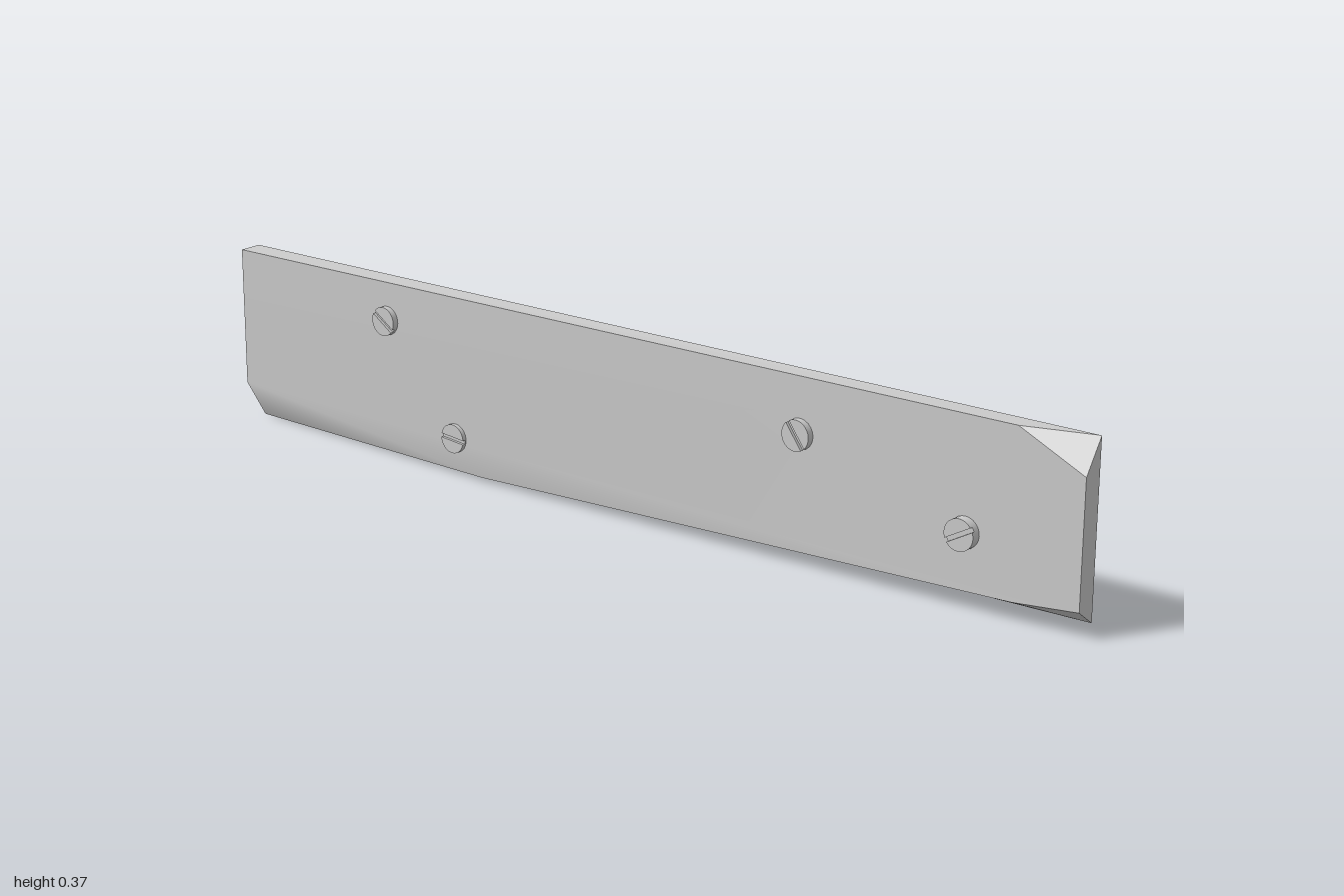
import * as THREE from 'three';

const material = new THREE.MeshStandardMaterial({ color: 0xcccccc });

// Polygons (lists of corners) fanned into one geometry; corners are shared for smooth shading
function facets(corners, polygons) {
  const index = [];
  for (const p of polygons) {
    for (let i = 1; i < p.length - 1; i++) index.push(p[0], p[i], p[i + 1]);
  }
  const geometry = new THREE.BufferGeometry();
  geometry.setAttribute('position', new THREE.Float32BufferAttribute(corners.flat(), 3));
  geometry.setIndex(index);
  geometry.computeVertexNormals();
  return geometry;
}

function addMesh(parent, name, geometry) {
  const mesh = new THREE.Mesh(geometry, material);
  mesh.name = name;
  parent.add(mesh);
  return mesh;
}

function createPlank() {
  const plank = new THREE.Group();
  plank.name = 'plank';
  const corners = [
    // front outline, counter-clockwise from the worn lower corner at -x
    [-1, 0.08, 0.017], [-0.33, 0.008, 0.017], [0.87, 0.038, 0.0135], [1, 0.05, 0.013],
    [1, 0.283, 0.013], [0.87, 0.346, 0.0135], [-1, 0.365, 0.017],
    // back outline
    [-1, 0, -0.03], [1, 0.02, -0.03], [1, 0.344, -0.03], [-1, 0.367, -0.03],
  ];
  // the front blends smoothly into the worn lower corner
  addMesh(plank, 'plankFront', facets(corners, [[0, 1, 2, 3, 4, 5, 6], [0, 7, 1]]));
  // the remaining sides keep hard edges
  const sides = {
    plankBottom: [7, 8, 2, 1],
    lowerChip: [8, 3, 2],
    plankRightEnd: [8, 9, 4, 3],
    upperChip: [4, 9, 5],
    plankTop: [6, 5, 9, 10],
    plankLeftEnd: [7, 0, 6, 10],
    plankBack: [7, 10, 9, 8],
  };
  for (const [name, polygon] of Object.entries(sides)) {
    const geometry = facets(polygon.map((i) => corners[i]), [polygon.map((_, i) => i)]).toNonIndexed();
    geometry.computeVertexNormals();
    addMesh(plank, name, geometry);
  }
  return plank;
}

// Slotted screw head: a recessed core disc and two raised halves
function createScrew(x, y, top, angle) {
  const radius = 0.029, slot = 0.004, base = 0.005, floor = top - 0.006;
  const screw = new THREE.Group();
  screw.name = 'screw';
  const core = addMesh(screw, 'screwCore',
    new THREE.CylinderGeometry(radius, radius, floor - base, 24).rotateX(Math.PI / 2));
  core.position.z = (floor + base) / 2;
  const start = Math.asin(slot / radius);
  const half = new THREE.Shape();
  half.absarc(0, 0, radius, start, Math.PI - start, false);
  half.closePath();
  const geometry = new THREE.ExtrudeGeometry(half, {
    depth: top - floor, bevelEnabled: false, curveSegments: 12,
  });
  for (const turn of [0, Math.PI]) {
    const mesh = addMesh(screw, 'screwHalf', geometry);
    mesh.position.z = floor;
    mesh.rotation.z = turn;
  }
  screw.position.set(x, y, 0);
  screw.rotation.z = angle;
  return screw;
}

export function createModel() {
  const model = new THREE.Group();
  model.name = 'screwedPlank';
  model.add(createPlank());
  // x, y, height of the head, slot direction
  const screws = [
    [-0.58, 0.283, 0.029, -0.6],
    [-0.4, 0.075, 0.025, -0.1],
    [0.43, 0.245, 0.028, -0.95],
    [0.775, 0.14, 0.033, 0.5],
  ];
  for (const s of screws) model.add(createScrew(...s));
  return model;
}
